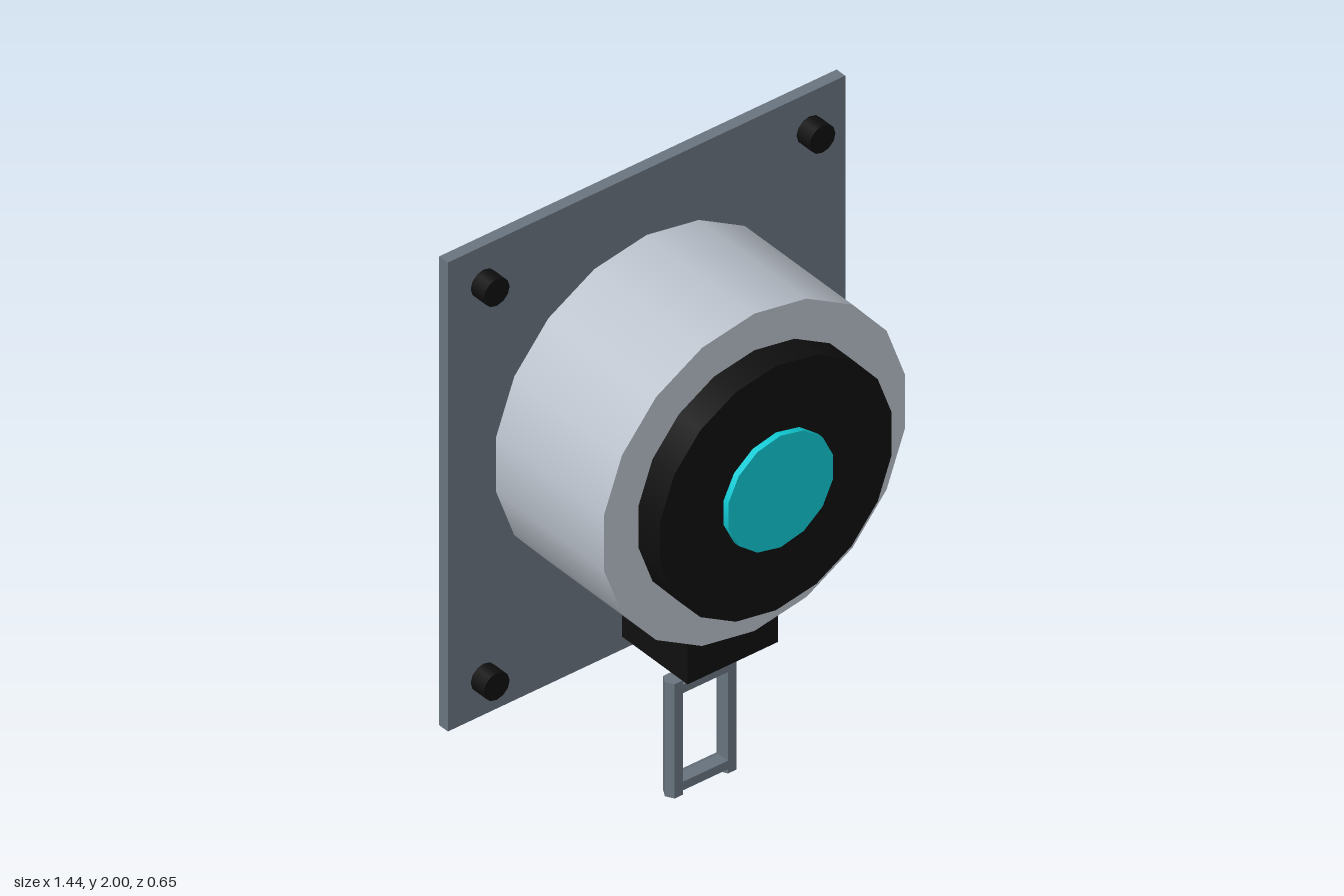
import * as THREE from 'three';

const material = (name, color) => {
  const m = new THREE.MeshStandardMaterial({ color });
  m.name = name;
  return m;
};

export function createModel() {
  const steel = material('slate grey', 0x6a7580);
  const silver = material('light grey', 0xbcc3cd);
  const black = material('black', 0x0f0f0f);
  const cyan = material('cyan', 0x10cad4);
  const brass = material('pale yellow', 0xcdd07c);

  const model = new THREE.Group();
  const add = (name, geometry, mat, x, y, z, parent = model) => {
    const mesh = new THREE.Mesh(geometry, mat);
    mesh.name = name;
    mesh.position.set(x, y, z);
    parent.add(mesh);
    return mesh;
  };
  // Box given by its limits on each axis
  const box = (name, mat, [x0, x1], [y0, y1], [z0, z1]) =>
    add(name, new THREE.BoxGeometry(x1 - x0, y1 - y0, z1 - z0), mat,
      (x0 + x1) / 2, (y0 + y1) / 2, (z0 + z1) / 2);
  // Round part facing the front, from z0 to z1
  const disc = (name, mat, r, sides, x, y, z0, z1) =>
    add(name, new THREE.CylinderGeometry(r, r, z1 - z0, sides).rotateX(Math.PI / 2), mat,
      x, y, (z0 + z1) / 2);

  // Mounting plate with four corner screws
  box('mountingPlate', steel, [-0.722, 0.722], [0.36, 2], [-0.323, -0.284]);
  for (const x of [-0.592, 0.592])
    for (const y of [0.492, 1.87])
      disc('screw', black, 0.047, 12, x, y, -0.284, -0.225);

  // Round housing, face ring and button
  const cy = 1.215;
  disc('housing', silver, 0.555, 18, 0, cy, -0.284, 0.204);
  disc('faceRing', black, 0.427, 18, 0, cy, 0.204, 0.302);
  disc('button', cyan, 0.195, 14, 0, cy, 0.302, 0.323);

  // Socket block and tongue under the housing
  box('socketBlock', black, [-0.164, 0.164], [0.492, 0.685], [-0.19, 0.106]);
  box('tongue', brass, [-0.072, 0.072], [0.37, 0.492], [-0.053, -0.032]);

  // Hanging link made of faceted hexagonal bars
  const link = new THREE.Group();
  link.name = 'hangingLink';
  link.position.z = -0.043;
  model.add(link);
  const hexBar = (length) => {
    const g = new THREE.CylinderGeometry(0.03, 0.03, length, 6, 1, false, Math.PI / 2).toNonIndexed();
    g.computeVertexNormals();
    return g;
  };
  for (const x of [-0.097, 0.097]) add('linkSideBar', hexBar(0.4), steel, x, 0.2, 0, link);
  for (const y of [0.03, 0.37])
    add('linkCrossBar', hexBar(0.194).rotateZ(Math.PI / 2), steel, 0, y, 0, link);

  return model;
}
